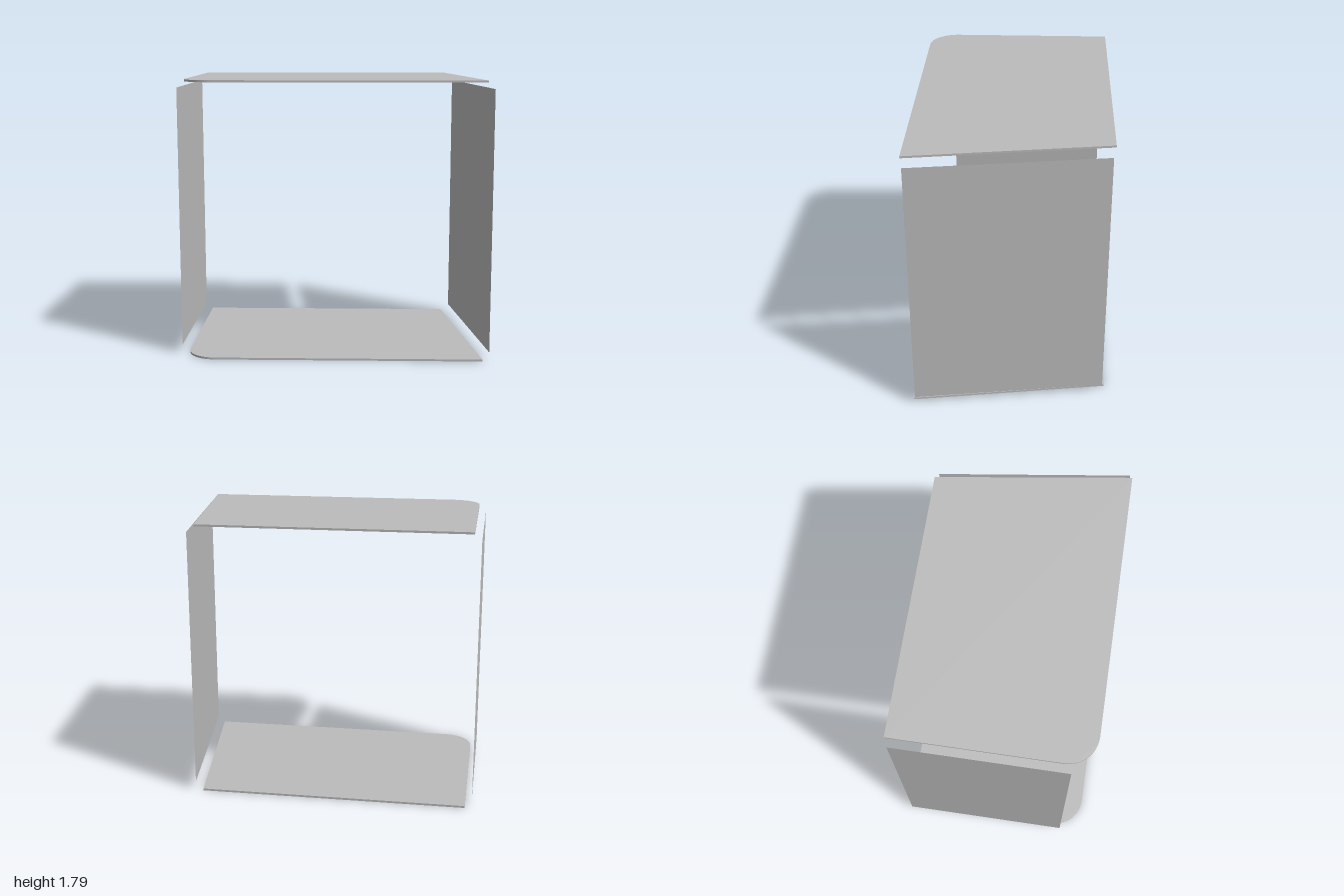
import * as THREE from 'three';

const grey = new THREE.MeshStandardMaterial({ color: 0xbcbcbc, side: THREE.DoubleSide });
grey.name = 'plain grey';

const HALF_DEPTH = 0.623;
const HALF_WIDTH = 0.956;
const CORNER = 0.19;
const THICKNESS = 0.013;
const PANEL_BOTTOM = 0.057;
const PANEL_TOP = 1.742;

// Thin plate: slanted right edge and one rounded front corner
function plate(name, y) {
  const s = new THREE.Shape();
  s.moveTo(-HALF_WIDTH, HALF_DEPTH);
  s.lineTo(-HALF_WIDTH, -HALF_DEPTH + CORNER);
  s.absarc(-HALF_WIDTH + CORNER, -HALF_DEPTH + CORNER, CORNER, Math.PI, Math.PI * 1.5, false);
  s.lineTo(HALF_WIDTH, -HALF_DEPTH);
  s.lineTo(0.777, HALF_DEPTH);
  s.closePath();
  const geo = new THREE.ExtrudeGeometry(s, { depth: THICKNESS, bevelEnabled: false, curveSegments: 12 });
  geo.rotateX(-Math.PI / 2); // shape's -y becomes the front, +z
  const mesh = new THREE.Mesh(geo, grey);
  mesh.name = name;
  mesh.position.y = y;
  return mesh;
}

// Upright sheet running between two floor points [x, z]
function panel(name, [x0, z0], [x1, z1]) {
  const geo = new THREE.PlaneGeometry(Math.hypot(x1 - x0, z1 - z0), PANEL_TOP - PANEL_BOTTOM);
  const mesh = new THREE.Mesh(geo, grey);
  mesh.name = name;
  mesh.position.set((x0 + x1) / 2, (PANEL_TOP + PANEL_BOTTOM) / 2, (z0 + z1) / 2);
  mesh.rotation.y = Math.atan2(-(z1 - z0), x1 - x0);
  return mesh;
}

export function createModel() {
  const group = new THREE.Group();
  group.name = 'openCabinet';
  group.add(
    plate('bottomPlate', 0),
    plate('topPlate', 1.782),
    // front to back, so the sheet's face points outwards (+x)
    panel('slantedSidePanel', [1, 0.61], [0.832, -0.608]),
    // back to front, facing -x; stops short of the rounded corner
    panel('straightSidePanel', [-1, -0.605], [-1, 0.486]),
  );
  return group;
}
